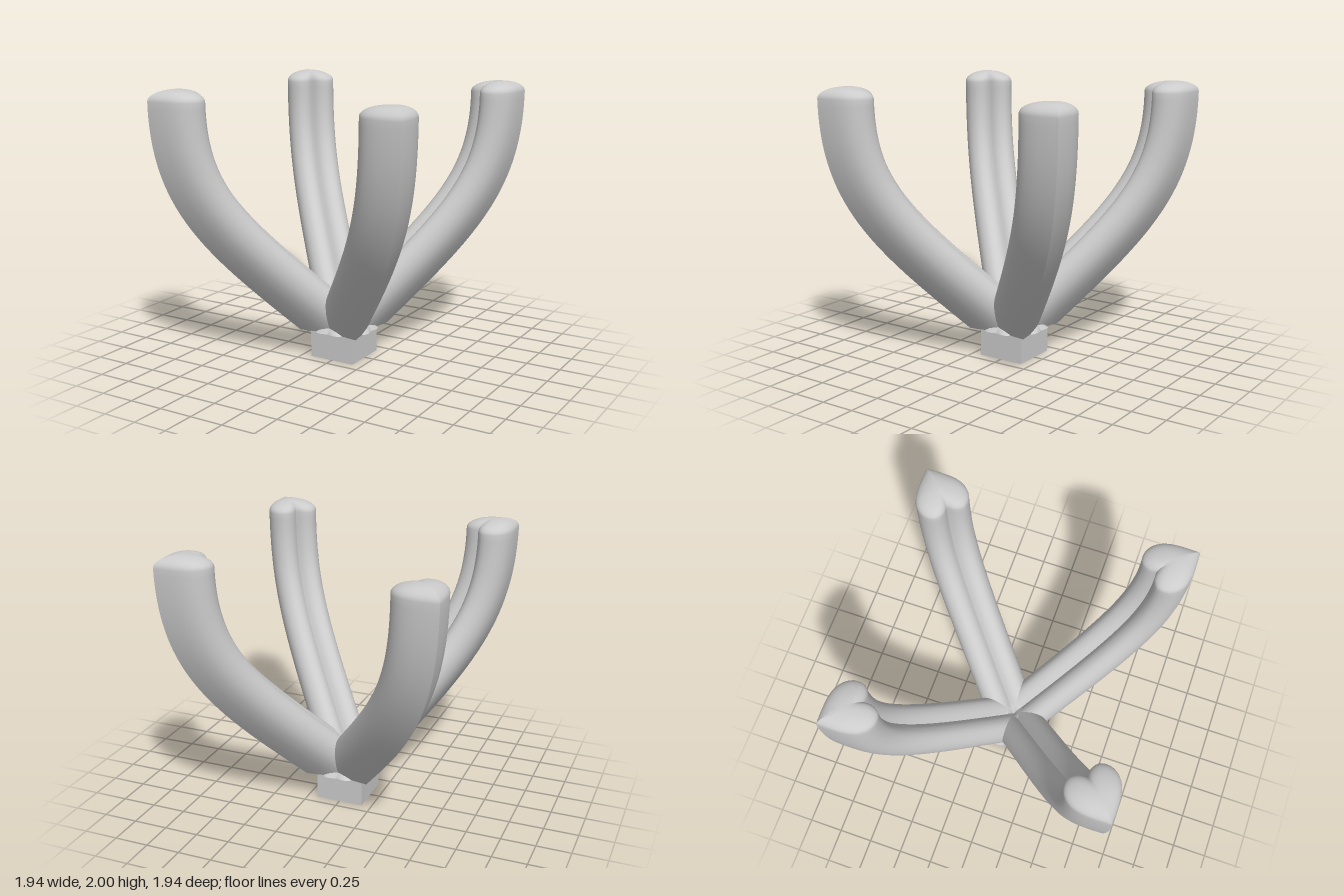
import * as THREE from 'three';
import { toCreasedNormals } from 'three/addons/utils/BufferGeometryUtils.js';

const material = new THREE.MeshStandardMaterial({ color: 0xcccccc });

// Heart cross-section as (depth in from the outer ridge, sideways) points.
function heartSection() {
  const half = new THREE.SplineCurve([
    [0, 0], [0.06, 0.065], [0.13, 0.13], [0.2, 0.172], [0.27, 0.183], [0.33, 0.165],
    [0.37, 0.125], [0.38, 0.09], [0.367, 0.04], [0.33, 0],
  ].map(([d, s]) => new THREE.Vector2(d, s))).getSpacedPoints(24);
  const mirrored = half.slice(1, -1).reverse().map((p) => new THREE.Vector2(p.x, -p.y));
  return [...half, ...mirrored];
}

// Skin a list of equal-length closed rings.
function skin(rings) {
  const n = rings[0].length;
  const index = [];
  for (let i = 0; i < rings.length - 1; i++) {
    for (let j = 0; j < n; j++) {
      const a = i * n + j, b = i * n + (j + 1) % n;
      index.push(a, a + n, b, b, a + n, b + n);
    }
  }
  const geometry = new THREE.BufferGeometry().setFromPoints(rings.flat());
  geometry.setIndex(index);
  return toCreasedNormals(geometry, 0.6);
}

// One arm curving outward along +x and up, with a flat foot and a domed top.
function armGeometry() {
  const footY = 0.215, rimY = 1.92, domeHeight = 0.08, steps = 40;
  const section = heartSection();
  const ridge = new THREE.CubicBezierCurve(
    new THREE.Vector2(0.337, 0.22), new THREE.Vector2(1.02, 0.84),
    new THREE.Vector2(1.37, 1.17), new THREE.Vector2(1.37, rimY));
  const rings = [];
  for (let i = 0; i <= steps; i++) {
    const p = ridge.getPoint(i / steps), t = ridge.getTangent(i / steps);
    rings.push(section.map((s) => new THREE.Vector3(p.x - t.y * s.x, p.y + t.x * s.x, s.y)));
  }
  // Foot: slide the first ring down along the arm to a level cut, then close it.
  const t0 = ridge.getTangent(0);
  const foot = rings[0].map((v) =>
    new THREE.Vector3(v.x - (v.y - footY) * t0.x / t0.y, footY, v.z));
  const footCentre = new THREE.Vector3(
    (foot[0].x + foot[24].x) / 2, footY, 0);
  rings.unshift(foot.map(() => footCentre.clone()), foot);
  // Dome: shrink the rim towards its middle while rising.
  const rim = rings[rings.length - 1];
  const centre = new THREE.Vector3(1.18, rimY, 0);
  for (let k = 1; k <= 10; k++) {
    const angle = k / 10 * Math.PI / 2;
    const scale = k === 10 ? 0 : Math.cos(angle);
    rings.push(rim.map((v) => {
      const q = v.clone().sub(centre).multiplyScalar(scale).add(centre);
      q.y = rimY + domeHeight * Math.sin(angle);
      return q;
    }));
  }
  return skin(rings);
}

export function createModel() {
  const model = new THREE.Group();
  model.name = 'fourArmStand';

  // Square base block
  const base = new THREE.Mesh(new THREE.BoxGeometry(0.355, 0.22, 0.355), material);
  base.name = 'baseBlock';
  base.position.y = 0.11;
  model.add(base);

  // Four arms on the diagonals
  const geometry = armGeometry();
  ['backLeftArm', 'backRightArm', 'frontRightArm', 'frontLeftArm'].forEach((name, i) => {
    const arm = new THREE.Mesh(geometry, material);
    arm.name = name;
    arm.rotation.y = Math.PI / 4 + i * Math.PI / 2;
    model.add(arm);
  });
  return model;
}
